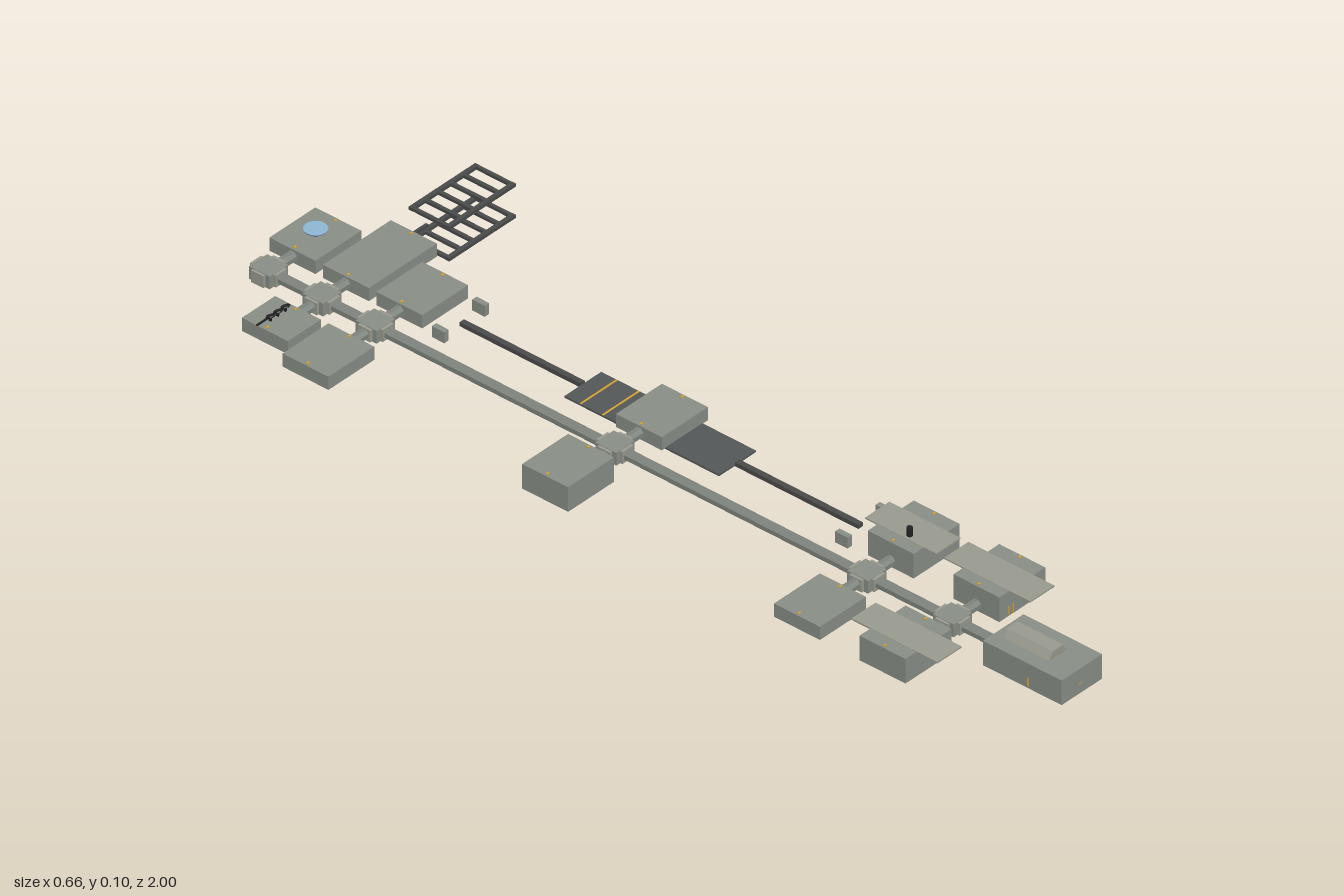
import * as THREE from 'three';

const mat = (color) => new THREE.MeshStandardMaterial({ color, flatShading: true });

export function createModel() {
  const root = new THREE.Group();
  const M = {
    wall: mat(0x8a8f87), trim: mat(0x9a9c90), tube: mat(0x7f857f), dark: mat(0x4a4b4b),
    deck: mat(0x555858), black: mat(0x222222), gold: mat(0xd9a534), blue: mat(0x8fb8d6),
  };

  const add = (name, geo, material, x, y, z, parent = root) => {
    const mesh = new THREE.Mesh(geo, material);
    mesh.name = name;
    mesh.position.set(x, y, z);
    parent.add(mesh);
    return mesh;
  };
  // Box given by its limits on each axis
  const box = (name, m, x0, x1, y0, y1, z0, z1, parent = root) =>
    add(name, new THREE.BoxGeometry(x1 - x0, y1 - y0, z1 - z0), m,
      (x0 + x1) / 2, (y0 + y1) / 2, (z0 + z1) / 2, parent);

  const FLOOR = 0.032, LOW = 0.061, TALL = 0.086, SPINE = -0.14;

  // Octagonal spine corridor
  const spine = new THREE.CylinderGeometry(0.0118, 0.0118, 1.76, 8);
  spine.rotateY(Math.PI / 8);
  spine.rotateX(Math.PI / 2);
  add('mainCorridor', spine, M.tube, SPINE, 0.046, -0.07);

  // Side corridor between a junction and a room
  const link = (x0, x1, z) => {
    const g = new THREE.CylinderGeometry(0.0118, 0.0118, x1 - x0, 8);
    g.rotateY(Math.PI / 8);
    g.rotateZ(Math.PI / 2);
    add('sideCorridor', g, M.tube, (x0 + x1) / 2, 0.046, z);
  };

  // Junction with a collar on each of its four sides
  const junction = (z) => {
    const g = new THREE.Group();
    g.name = 'junction';
    box('hub', M.wall, SPINE - 0.025, SPINE + 0.025, FLOOR, 0.06, z - 0.025, z + 0.025, g);
    box('sideCollars', M.trim, SPINE - 0.031, SPINE + 0.031, 0.033, 0.059, z - 0.015, z + 0.015, g);
    box('endCollars', M.trim, SPINE - 0.015, SPINE + 0.015, 0.033, 0.059, z - 0.031, z + 0.031, g);
    root.add(g);
  };

  // Rooms: x limits, row centre, half depth, roof height
  const room = (x0, x1, z, half, top) => {
    const g = new THREE.Group();
    g.name = 'room';
    box('roomBody', M.wall, x0, x1, FLOOR, top, z - half, z + half, g);
    for (const x of [x0 + 0.007, x1 - 0.007])
      box('roofLight', M.gold, x - 0.003, x + 0.003, top, top + 0.002, z - 0.002, z + 0.002, g);
    root.add(g);
  };
  const L = [-0.33, -0.205], R = [-0.075, 0.05];
  const rows = [
    { z: 0.69, left: [...L, TALL], right: [...R, TALL] },
    { z: 0.485, left: [...L, LOW], right: [...R, TALL] },
    { z: -0.118, left: [...L, TALL], right: [...R, LOW] },
    { z: -0.692, left: [...L, LOW], right: [...R, LOW] },
    { z: -0.82, left: [-0.295, -0.205, LOW], right: [-0.075, 0.11, LOW] },
    { z: -0.948, right: [...R, LOW] },
  ];
  for (const { z, left, right } of rows) {
    junction(z);
    for (const r of [left, right]) if (r) room(r[0], r[1], z, 0.055, r[2]);
    if (left) link(-0.206, SPINE - 0.025, z);
    link(SPINE + 0.025, -0.074, z);
  }

  // Thin canopies over the doors
  const canopy = (x, z, halfDepth) =>
    box('canopy', M.trim, x - 0.033, x + 0.033, 0.0835, 0.0865, z - halfDepth, z + halfDepth);
  canopy(-0.267, 0.692, 0.103);
  canopy(-0.015, 0.692, 0.103);
  canopy(-0.015, 0.485, 0.085);

  // Door strips on the front walls
  for (const x of [-0.243, -0.228, -0.05, -0.038])
    box('doorStrip', M.gold, x - 0.001, x + 0.001, 0.035, 0.053, 0.744, 0.7465);

  // Front hall with a long raised skylight
  box('frontHall', M.wall, -0.195, -0.085, FLOOR, TALL, 0.812, 1);
  box('hallLintel', M.gold, -0.149, -0.131, 0.052, 0.054, 0.997, 1);
  for (const x of [-0.195, -0.085])
    box('hallDoorStrip', M.gold, x - 0.001, x + 0.001, 0.037, 0.055, 0.918, 0.922);
  const sky = new THREE.Shape([
    new THREE.Vector2(-0.024, 0), new THREE.Vector2(0.024, 0),
    new THREE.Vector2(0.014, 0.016), new THREE.Vector2(-0.014, 0.016)]);
  add('skylight', new THREE.ExtrudeGeometry(sky, { depth: 0.11, bevelEnabled: false }),
    M.trim, SPINE, TALL, 0.833);

  // Chimney
  add('chimney', new THREE.CylinderGeometry(0.006, 0.006, 0.025, 10), M.black, -0.037, 0.0925, 0.497);

  // Rail line with a station deck
  box('stationDeck', M.deck, -0.065, 0.035, 0.0295, 0.0335, -0.305, 0.065);
  for (const z of [-0.267, -0.214])
    box('deckStripe', M.gold, -0.065, 0.035, 0.0335, 0.0342, z - 0.002, z + 0.002);
  for (const [z0, z1] of [[-0.595, -0.305], [0.065, 0.36]])
    box('rail', M.dark, -0.021, -0.009, 0.028, 0.037, z0, z1);
  for (const z of [-0.6, 0.366])
    for (const x of [-0.068, 0.042])
      box('railEndPost', M.wall, x - 0.006, x + 0.006, 0.023, 0.047, z - 0.015, z + 0.015);

  // Two open panel frames on an arm
  box('panelArm', M.dark, 0.11, 0.146, 0.054, 0.06, -0.823, -0.817);
  for (const y of [0.0045, 0.0735]) {
    const g = new THREE.Group();
    g.name = 'panelFrame';
    for (const z of [-0.864, -0.776])
      box('frameSide', M.dark, 0.146, 0.327, y - 0.0035, y + 0.0035, z, z + 0.009, g);
    for (let i = 0; i <= 5; i++) {
      const x = 0.15 + i * 0.0346;
      box('rung', M.dark, x - 0.004, x + 0.004, y - 0.003, y + 0.003, -0.856, -0.775, g);
    }
    root.add(g);
  }

  // Antenna cluster on the small back room
  const antenna = new THREE.Group();
  antenna.name = 'antenna';
  box('antennaBoom', M.black, -0.305, -0.22, 0.069, 0.072, -0.832, -0.829, antenna);
  for (const x of [-0.268, -0.248, -0.228]) {
    box('antennaMast', M.black, x - 0.002, x + 0.002, LOW, 0.07, -0.833, -0.828, antenna);
    const ring = add('antennaRing', new THREE.TorusGeometry(0.008, 0.0018, 5, 10), M.black, x, 0.0715, -0.83, antenna);
    ring.rotation.x = Math.PI / 2 - 0.4;
  }
  root.add(antenna);

  // Round blue dish on a short post
  add('dishPost', new THREE.CylinderGeometry(0.004, 0.006, 0.014, 8), M.dark, -0.015, 0.067, -0.945);
  add('dish', new THREE.CylinderGeometry(0.023, 0.021, 0.004, 16), M.blue, -0.015, 0.075, -0.945);

  return root;
}
